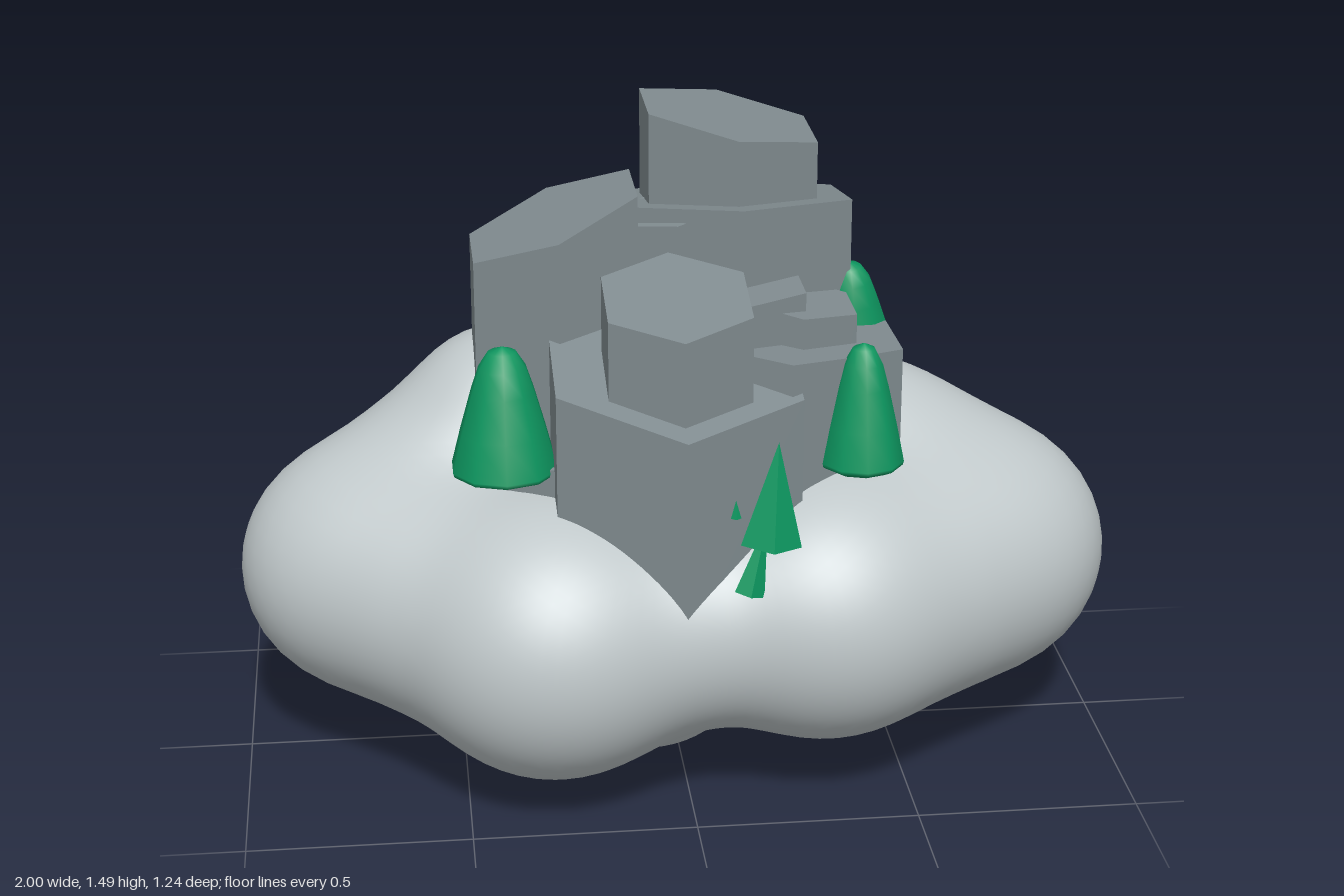
import * as THREE from 'three';
import { mergeVertices } from 'three/addons/utils/BufferGeometryUtils.js';

const cloudMat = new THREE.MeshStandardMaterial({ color: 0xc0c8ca });
cloudMat.name = 'cloud grey';
const stoneMat = new THREE.MeshStandardMaterial({ color: 0x818c90 });
stoneMat.name = 'stone grey';
const leafMat = new THREE.MeshStandardMaterial({ color: 0x0d9760 });
leafMat.name = 'tree green';

// Puffs blended into one cloud: x, y, z, radius
const puffs = [
  // end lobes
  [-0.7, 0.45, -0.03, 0.275], [0.7, 0.46, 0.03, 0.285],
  // front and back lobes
  [-0.29, 0.4, 0.27, 0.32], [0.31, 0.44, 0.24, 0.31],
  [-0.32, 0.45, -0.27, 0.32], [0.24, 0.46, -0.28, 0.32],
  [0, 0.43, 0.25, 0.24], [0, 0.46, -0.27, 0.29],
  // bridges towards the end lobes
  [-0.52, 0.46, -0.13, 0.27], [-0.52, 0.43, 0.11, 0.26],
  [0.52, 0.45, 0.14, 0.27], [0.5, 0.47, -0.12, 0.25],
  // raised shoulders
  [-0.37, 0.77, -0.13, 0.2], [0.42, 0.68, -0.06, 0.2],
  [-0.5, 0.62, -0.1, 0.2], [0.53, 0.6, -0.03, 0.21],
  // underside
  [-0.04, 0.2, 0.05, 0.18], [-0.28, 0.24, 0.08, 0.2], [-0.05, 0.28, -0.15, 0.2],
];

function cloudDistance(x, y, z) {
  const k = 0.05;
  let sum = 0;
  for (const [px, py, pz, r] of puffs) {
    sum += Math.exp((r - Math.hypot(x - px, y - py, z - pz)) / k);
  }
  return -k * Math.log(sum);
}

// Push a sphere's vertices out to the blended surface
function makeCloud() {
  let geo = new THREE.IcosahedronGeometry(1, 22);
  geo.deleteAttribute('uv');
  geo.deleteAttribute('normal');
  geo = mergeVertices(geo, 1e-4);
  const pos = geo.attributes.position;
  const d = new THREE.Vector3();
  const cy = 0.45;
  for (let i = 0; i < pos.count; i++) {
    d.fromBufferAttribute(pos, i).normalize();
    const at = (t) => cloudDistance(d.x * t, cy + d.y * t, d.z * t);
    let hi = 1.3;
    while (hi > 0.1 && at(hi) > 0) hi -= 0.02;
    let lo = hi;
    hi += 0.02;
    for (let n = 0; n < 12; n++) {
      const mid = (lo + hi) / 2;
      if (at(mid) > 0) hi = mid; else lo = mid;
    }
    pos.setXYZ(i, d.x * lo, cy + d.y * lo, d.z * lo);
  }
  // Settle the lobes on their exact width, depth and ground level
  geo.computeBoundingBox();
  const { min, max } = geo.boundingBox;
  for (let i = 0; i < pos.count; i++) {
    const y = pos.getY(i);
    pos.setXYZ(i,
      ((pos.getX(i) - min.x) / (max.x - min.x)) * 2 - 1,
      y < cy ? ((y - min.y) / (cy - min.y)) * cy : y,
      ((pos.getZ(i) - min.z) / (max.z - min.z)) * 1.24 - 0.62);
  }
  geo.computeVertexNormals();
  const mesh = new THREE.Mesh(geo, cloudMat);
  mesh.name = 'cloud';
  return mesh;
}

// Hexagonal column whose top is tilted by slopes along x and z
function column(x, z, r, top, slopeX = 0, slopeZ = 0) {
  const base = new THREE.CylinderGeometry(r, r, 1, 6, 1);
  const pos = base.attributes.position;
  for (let i = 0; i < pos.count; i++) {
    const px = pos.getX(i), pz = pos.getZ(i);
    const y = pos.getY(i) > 0 ? top + px * slopeX + pz * slopeZ : 0.45;
    pos.setXYZ(i, x + px, y, z + pz);
  }
  const geo = base.toNonIndexed();
  geo.computeVertexNormals();
  const mesh = new THREE.Mesh(geo, stoneMat);
  mesh.name = 'stoneColumn';
  return mesh;
}

// Round-topped tree with a flared, undercut skirt
function roundTree(x, y, z, r, h, leanX = 0, leanZ = 0) {
  const profile = [[0, 0.02], [0.75, 0], [0.98, 0.04], [1, 0.07], [0.82, 0.35],
    [0.6, 0.66], [0.45, 0.84], [0.26, 0.96], [0, 1]];
  const geo = new THREE.LatheGeometry(profile.map(([a, b]) => new THREE.Vector2(a * r, b * h)), 10);
  const mesh = new THREE.Mesh(geo, leafMat);
  mesh.name = 'roundTree';
  mesh.position.set(x, y, z);
  mesh.rotation.set(leanZ, 0, leanX);
  return mesh;
}

// Faceted pointed tree
function pointedTree(x, y, z, r, h, leanX = 0, leanZ = 0) {
  const base = new THREE.ConeGeometry(r, h, 5).translate(0, h / 2, 0);
  const geo = base.toNonIndexed();
  geo.computeVertexNormals();
  const mesh = new THREE.Mesh(geo, leafMat);
  mesh.name = 'pointedTree';
  mesh.position.set(x, y, z);
  mesh.rotation.set(leanZ, 0, leanX);
  return mesh;
}

export function createModel() {
  const model = new THREE.Group();
  model.name = 'cloudIsland';
  model.add(makeCloud());

  // Stone outcrop: x, z, radius, top height, slope x, slope z
  const stones = new THREE.Group();
  stones.name = 'stoneOutcrop';
  const columns = [
    [0.14, -0.17, 0.22, 1.45, -0.2, 0],
    [0.14, -0.17, 0.305, 1.26, 0, 0.19],
    [0, -0.26, 0.315, 1.09, 0, 0.28],
    [0.02, -0.24, 0.28, 1.17, 0, 0.17],
    [0, -0.06, 0.14, 1.27, 0.14, 0],
    [-0.27, -0.03, 0.21, 1.27, 0.39, 0],
    [-0.2, -0.14, 0.24, 1.13, 0, 0],
    [-0.25, 0.05, 0.27, 0.8, 0.2, 0],
    [-0.25, -0.2, 0.26, 0.82, 0, -0.1],
    [-0.025, 0.29, 0.18, 1.18, 0, -0.23],
    [-0.025, 0.215, 0.31, 1.02, -0.05, -0.28],
    [0.3, 0.08, 0.22, 1.01, -0.06, 0.05],
    [0.26, 0.09, 0.15, 1.1, -0.15, 0],
    [0.22, 0.16, 0.2, 1.03, -0.1, 0.05],
    [0.1, 0.08, 0.2, 1.14, 0, 0],
  ];
  for (const c of columns) stones.add(column(...c));
  model.add(stones);

  // Trees around the stones
  const trees = new THREE.Group();
  trees.name = 'trees';
  trees.add(
    roundTree(-0.4, 0.76, 0.23, 0.12, 0.3),
    roundTree(0.385, 0.77, 0.29, 0.095, 0.29),
    roundTree(0.425, 0.86, -0.08, 0.11, 0.28, 0.08, 0.16),
    pointedTree(0.16, 0.67, 0.46, 0.07, 0.23, -0.08, -0.05),
    pointedTree(0.11, 0.57, 0.5, 0.035, 0.17, -0.25, -0.15),
    pointedTree(0.08, 0.75, 0.5, 0.012, 0.04),
    pointedTree(0.43, 0.8, -0.22, 0.06, 0.17, 0, 0.2),
    pointedTree(0.42, 0.8, -0.16, 0.08, 0.19),
    pointedTree(0.26, 0.72, -0.43, 0.075, 0.14, 0, 0.2),
    pointedTree(0.14, 0.79, -0.5, 0.025, 0.06),
    pointedTree(-0.21, 1.12, -0.25, 0.05, 0.13),
    pointedTree(-0.45, 0.85, 0.11, 0.035, 0.09),
  );
  model.add(trees);
  return model;
}
